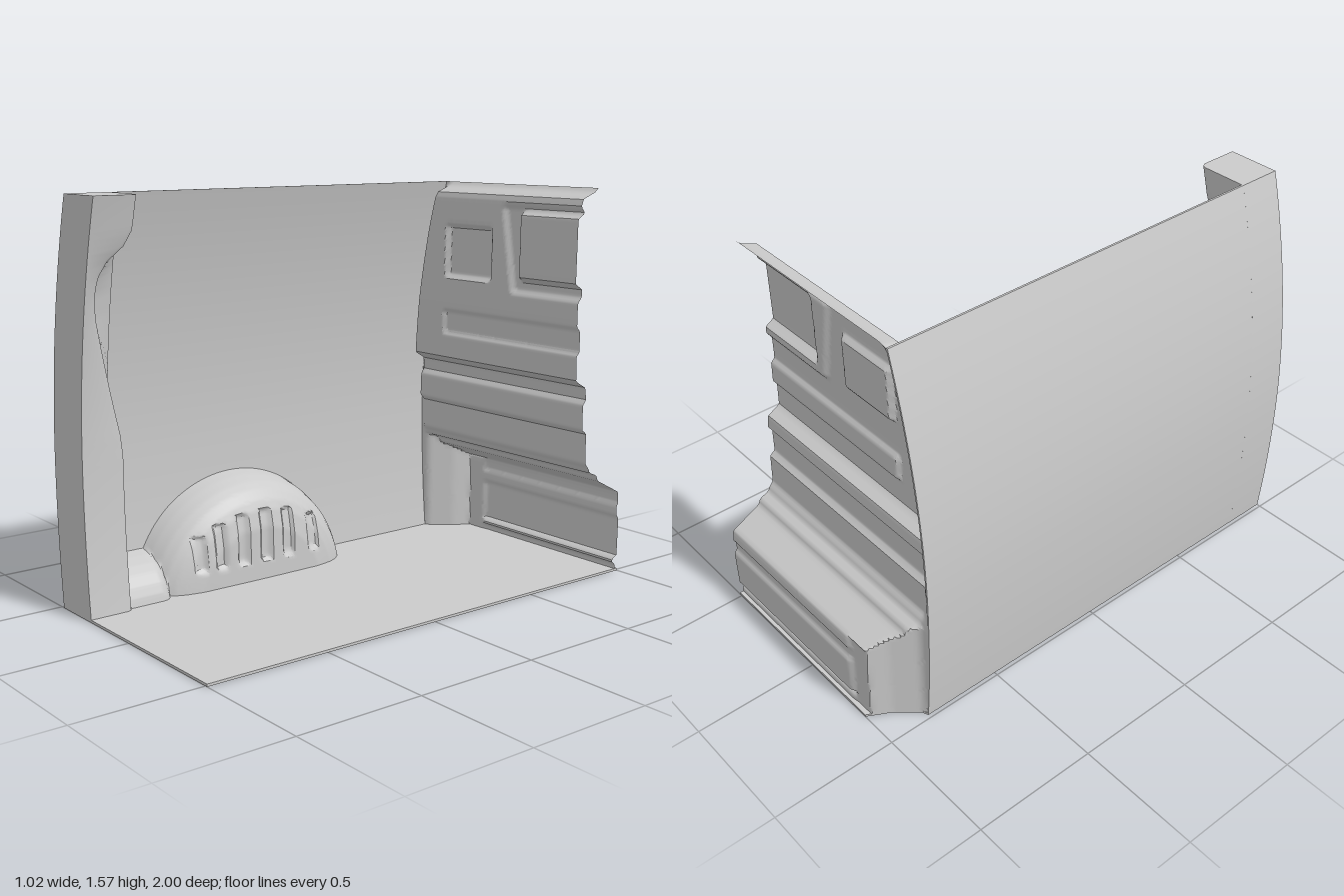
import * as THREE from 'three';
import { toCreasedNormals } from 'three/addons/utils/BufferGeometryUtils.js';

const TOP = 1.565, RIGHT_EDGE = 0.51;
const { smoothstep, lerp, clamp } = THREE.MathUtils;

// curved side of the body: x as a function of height
const wallX = (y) => -0.513 + (y < 0.55 ? 0.028 * ((0.55 - y) / 0.55) ** 2 : 0.148 * ((y - 0.55) / 1.02) ** 2);

// piecewise-linear lookup in [key, value] pairs
function along(table, k) {
  if (k <= table[0][0]) return table[0][1];
  for (let i = 1; i < table.length; i++) {
    const [k0, v0] = table[i - 1], [k1, v1] = table[i];
    if (k <= k1) return lerp(v0, v1, (k - k0) / (k1 - k0));
  }
  return table[table.length - 1][1];
}

// soft-edged rectangle, 1 inside and 0 outside
const patch = (x, y, x0, x1, y0, y1, s = 0.025) =>
  smoothstep(x, x0, x0 + s) * (1 - smoothstep(x, x1 - s, x1)) *
  smoothstep(y, y0, y0 + s) * (1 - smoothstep(y, y1 - s, y1));

// surface from a rule (u, v in 0..1) => [x, y, z]
function surface(nu, nv, rule) {
  const pos = [], idx = [];
  for (let j = 0; j <= nv; j++)
    for (let i = 0; i <= nu; i++) pos.push(...rule(i / nu, j / nv));
  for (let j = 0; j < nv; j++)
    for (let i = 0; i < nu; i++) {
      const a = j * (nu + 1) + i, b = a + 1, c = a + nu + 1, d = c + 1;
      idx.push(a, b, d, a, d, c);
    }
  const g = new THREE.BufferGeometry();
  g.setAttribute('position', new THREE.Float32BufferAttribute(pos, 3));
  g.setIndex(idx);
  return toCreasedNormals(g, 0.6);
}

// bulkhead profile: [height, z]
const bulkheadProfile = [
  [0, -0.985], [0.03, -0.985], [0.04, -0.97], [0.055, -0.97], [0.065, -0.995], [0.22, -0.998],
  [0.24, -0.985], [0.27, -0.985], [0.29, -0.995], [0.335, -0.99], [0.40, -0.865], [0.425, -0.855],
  [0.44, -0.815], [0.455, -0.81], [0.48, -0.79], [0.605, -0.787], [0.62, -0.765], [0.72, -0.765],
  [0.74, -0.782], [0.79, -0.775], [0.82, -0.722], [1.06, -0.718], [1.5, -0.725], [1.525, -0.735],
  [1.55, -0.80], [TOP, -0.815],
];
// plan of the lower corner: [x, z]
const cornerPlan = [[-0.48, -0.82], [-0.46, -0.83], [-0.39, -0.91], [-0.34, -1]];

function bulkheadPoint(u, v) {
  const y = v * TOP, left = wallX(y) + 0.008;
  const x = lerp(left, RIGHT_EDGE, u);
  let z = along(bulkheadProfile, y);
  // flat end beside the ribbed lower section
  if (y < 0.335) z = lerp(-0.98, z, smoothstep(x, -0.28, -0.24));
  // long horizontal groove
  z -= 0.016 * patch(x, y, -0.27, 0.7, 0.915, 1.035, 0.022);
  // small recessed panel
  z -= 0.022 * patch(x, y, -0.26, 0.03, 1.16, 1.4, 0.025);
  // moat and raised window panel
  z -= 0.02 * patch(x, y, 0.07 + 0.06 * clamp((1.48 - y) / 0.35, 0, 1), 0.7, 1.12, 1.5, 0.035);
  z += 0.036 * patch(x, y, 0.175, 0.7, 1.175, 1.475, 0.03);
  if (y < 0.48) z = Math.max(z, along(cornerPlan, x));
  // end turned back to the side wall
  if (z > -0.82) z = lerp(-0.82, z, clamp((x - left) / 0.05, 0, 1));
  return [x, y, z];
}

// wheel arch: distance from the rim => x
const archDepth = [[0, -0.5], [0.012, -0.44], [0.03, -0.385], [0.055, -0.345], [0.09, -0.315], [0.13, -0.297], [0.2, -0.282], [0.5, -0.278]];
const slots = [0.5, 0.41, 0.31, 0.2, 0.09, -0.04];

function archPoint(u, v) {
  const z = u < 0.8
    ? 0.22 - 0.485 * Math.cos((u / 0.8) * 2.62)
    : lerp(0.22 - 0.485 * Math.cos(2.62), 0.82, (u - 0.8) / 0.2);
  const arc = Math.sqrt(Math.max(0, 0.49 ** 2 - (z - 0.22) ** 2)) - 0.07;
  const top = Math.max(arc, 0.005, z > 0.6 ? 0.17 : 0);
  const y = top * (1 - (1 - v) ** 2);
  const rim = Math.max(0, 0.49 - Math.hypot(z - 0.22, y + 0.07));
  const shelf = Math.max(0, 0.17 - y) * smoothstep(z, 0.58, 0.68);
  let x = along(archDepth, Math.max(rim, shelf));
  for (const s of slots) {
    const h = 0.3 - 0.9 * (s - 0.22) ** 2;
    x -= 0.016 * patch(z, y, s - 0.032, s + 0.032, 0.08, h, 0.018);
  }
  return [Math.max(x, wallX(y) + 0.005), y, z];
}

// rear pillar: depth of its inner face by height
const pillarFace = [[0.6, 0.82], [0.68, 0.83], [1.12, 0.94], [1.2, 0.95], [1.27, 0.943], [1.33, 0.91], [1.38, 0.85], [1.44, 0.82]];

function pillarSection(y) {
  const w = wallX(y), f = along(pillarFace, y), e = w + 0.215, r = 0.025;
  return [
    [w, 1], [e, 1], [e, f + r], [e - r * 0.3, f + r * 0.3], [e - r, f],
    [e - 0.06, lerp(f, 0.82, 0.12)], [w + 0.08, 0.82], [w, 0.82], [w, 1],
  ];
}

export function createModel() {
  const group = new THREE.Group();
  const material = new THREE.MeshStandardMaterial({ color: 0xcccccc, side: THREE.DoubleSide });
  const add = (name, geometry, parent = group) => {
    const mesh = new THREE.Mesh(geometry, material);
    mesh.name = name;
    parent.add(mesh);
    return mesh;
  };

  // floor with a clipped corner
  const plan = new THREE.Shape([
    [-0.485, -1], [RIGHT_EDGE, -1], [RIGHT_EDGE, 1], [-0.34, 1], [-0.39, 0.91], [-0.46, 0.83], [-0.485, 0.82],
  ].map(([x, y]) => new THREE.Vector2(x, y)));
  const floor = add('floor', new THREE.ExtrudeGeometry(plan, { depth: 0.01, bevelEnabled: false }));
  floor.rotation.x = -Math.PI / 2;

  // thin curved side wall
  const n = 32, outer = [], inner = [];
  for (let i = 0; i <= n; i++) {
    const y = (i / n) * TOP;
    outer.push(new THREE.Vector2(wallX(y), y));
    inner.unshift(new THREE.Vector2(wallX(y) + 0.008, y));
  }
  const wall = new THREE.ExtrudeGeometry(new THREE.Shape([...outer, ...inner]), { depth: 1.82, bevelEnabled: false });
  wall.translate(0, 0, -0.82);
  add('sideWall', toCreasedNormals(wall, 0.6));

  // pressed bulkhead
  add('bulkhead', surface(110, 190, bulkheadPoint));

  // wheel arch with pressed slots
  add('wheelArch', surface(130, 50, archPoint));

  // rear pillar and its end caps
  const pillar = new THREE.Group();
  pillar.name = 'rearPillar';
  group.add(pillar);
  add('pillarBody', surface(8, 60, (u, v) => {
    const [x, z] = pillarSection(v * TOP)[Math.round(u * 8)];
    return [x, v * TOP, z];
  }), pillar);
  for (const [name, y] of [['pillarBase', 0.002], ['pillarTop', TOP]]) {
    const outline = pillarSection(y).slice(0, -1).map(([x, z]) => new THREE.Vector2(x, -z));
    const cap = add(name, new THREE.ShapeGeometry(new THREE.Shape(outline)), pillar);
    cap.rotation.x = -Math.PI / 2;
    cap.position.y = y;
  }
  return group;
}
